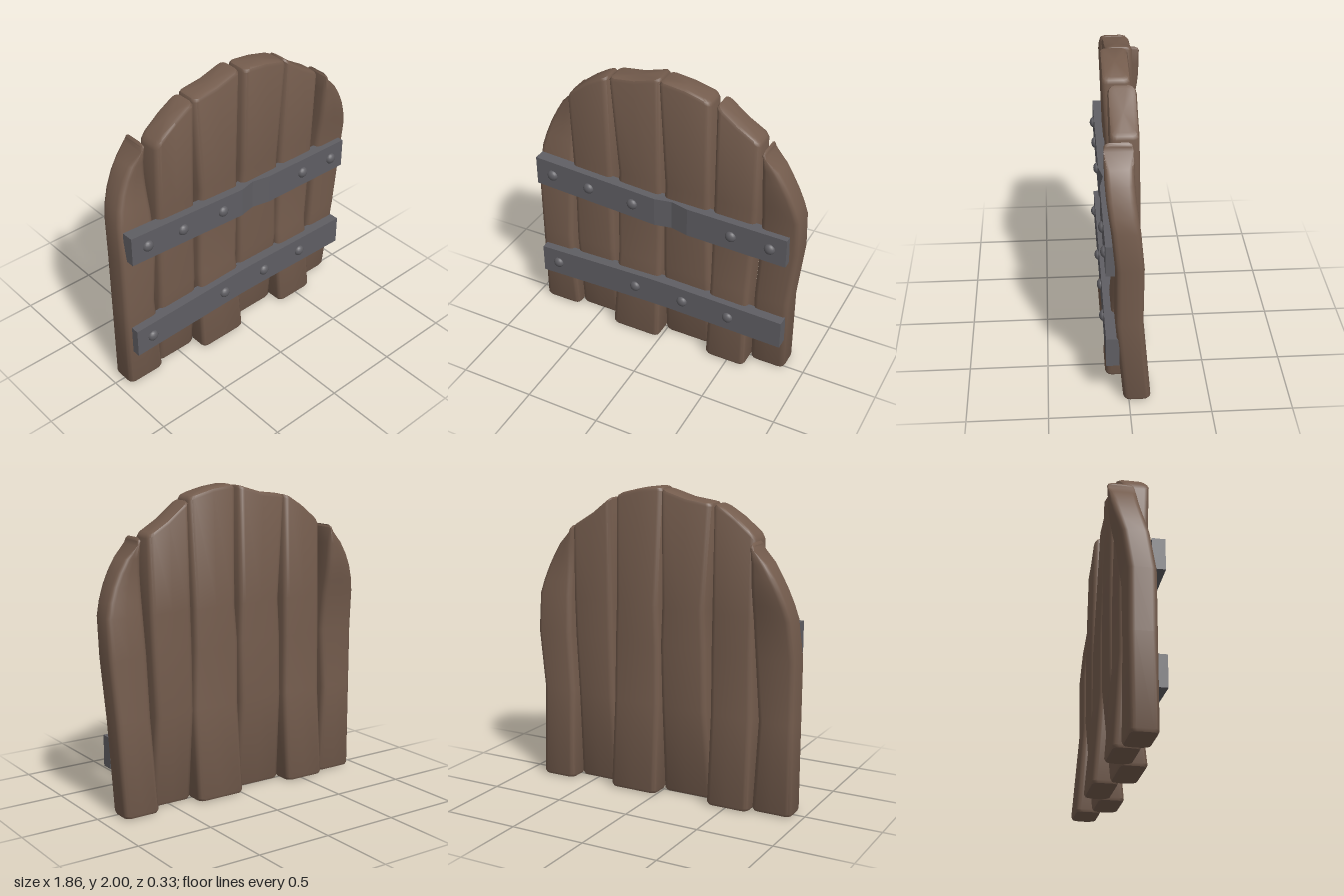
import * as THREE from 'three';
import { toCreasedNormals } from 'three/addons/utils/BufferGeometryUtils.js';

const THICK = 0.17;
const LEVELS = [0, 0.6, 1, 1.25]; // heights where plank edges are given
const wood = new THREE.MeshStandardMaterial({ color: 0x745c4d });
wood.name = 'brown wood';
const iron = new THREE.MeshStandardMaterial({ color: 0x5f5e63 });
iron.name = 'dark iron';

// Rounded-rectangle cross-section of a plank
function ringPoints(row, inset) {
  const { yl, xl, xr, z, yr = yl, bump = 0 } = row;
  const w = (xr - xl) / 2, cx = (xl + xr) / 2;
  const hw = w - Math.min(inset, w * 0.5), hz = THICK / 2 - inset;
  const r = Math.min(0.035, w * 0.6, hw * 0.9);
  const pts = [];
  const add = (x, dz) => {
    const u = x / w; // -1 .. 1 across the plank
    pts.push([cx + x, yl + (yr - yl) * (u + 1) / 2 + bump * (1 - u * u), z + dz]);
  };
  for (let q = 0; q < 4; q++) {
    const sx = q === 0 || q === 3 ? 1 : -1, sz = q < 2 ? 1 : -1;
    for (let k = 0; k <= 3; k++) {
      const a = (q + k / 3) * Math.PI / 2;
      add(sx * (hw - r) + Math.cos(a) * r, sz * (hz - r) + Math.sin(a) * r);
    }
    if (q % 2 === 0) add(0, sz * hz); // middle of the broad faces
  }
  return pts;
}

// Plank lofted through its rows, with rounded ends
function plankGeometry(rows) {
  const R = 0.025;
  const shift = (row, d) => ({ ...row, yl: row.yl + d, yr: (row.yr ?? row.yl) + d });
  const first = rows[0], last = rows[rows.length - 1];
  const rings = [
    ringPoints(first, R), ringPoints(shift(first, R * 0.3), R * 0.3), ringPoints(shift(first, R), 0),
    ...rows.slice(1, -1).map((row) => ringPoints(row, 0)),
    ringPoints(shift(last, -R), 0), ringPoints(shift(last, -R * 0.3), R * 0.3), ringPoints(last, R),
  ];
  const n = rings[0].length, pos = rings.flat(2), idx = [];
  for (let i = 0; i < rings.length - 1; i++) {
    for (let j = 0; j < n; j++) {
      const a = i * n + j, b = i * n + (j + 1) % n;
      idx.push(a, a + n, b + n, a, b + n, b);
    }
  }
  // end caps
  const cap = ({ yl, xl, xr, z, yr = yl, bump = 0 }, start, top) => {
    const c = pos.length / 3;
    pos.push((xl + xr) / 2, (yl + yr) / 2 + bump, z);
    for (let j = 0; j < n; j++) {
      const a = start + j, b = start + (j + 1) % n;
      idx.push(c, top ? b : a, top ? a : b);
    }
  };
  cap(first, 0, false);
  cap(last, (rings.length - 1) * n, true);
  const g = new THREE.BufferGeometry();
  g.setAttribute('position', new THREE.Float32BufferAttribute(pos, 3));
  g.setIndex(idx);
  return toCreasedNormals(g, 0.7);
}

// Middle planks: edges at each level, then at the sloped top; ends lean by zLow and zTop
function middleRows({ left, right, zLow, zTop, top: [yl, yr, bump] }) {
  const lean = [zLow, 0, 0, zTop * 0.25];
  const rows = LEVELS.map((y, i) => ({ yl: y, xl: left[i], xr: right[i], z: lean[i] }));
  return [...rows, { yl, yr, bump, xl: left[4], xr: right[4], z: zTop }];
}

// Side planks: the outer edge follows an elliptical arch above the third level
function sideRows({ side, inner, outer, reach, zLow, zTop }) {
  const row = (y, xIn, xOut, z, drop = 0) => (side > 0
    ? { yl: y, xl: xIn, xr: xOut, yr: y - drop, z }
    : { yl: y - drop, xl: -xOut, xr: -xIn, yr: y, z });
  const arch = (y) => reach * Math.sqrt(1 - ((y - 1.06) / 0.94) ** 2);
  const lean = (y) => zTop * THREE.MathUtils.smoothstep(y, 1, 1.55);
  return [
    ...outer.map((x, i) => row(LEVELS[i], inner[i], x, i === 0 ? zLow : 0)),
    ...[1.25, 1.34, 1.43, 1.51, 1.59].map((y) => row(y, inner[3], arch(y), lean(y))),
    row(1.72, inner[3], arch(1.69), zTop, 0.03),
  ];
}

const MIDDLE = [
  { left: [-0.663, -0.66, -0.655, -0.657, -0.66], right: [-0.37, -0.37, -0.37, -0.37, -0.37],
    zLow: -0.045, zTop: 0.022, top: [1.725, 1.925, 0.02] },
  { left: [-0.363, -0.34, -0.333, -0.32, -0.363], right: [-0.012, -0.02, -0.01, -0.018, -0.012],
    zLow: 0.055, zTop: 0.012, top: [1.925, 2, -0.02] },
  { left: [-0.005, 0, 0, 0.015, -0.005], right: [0.335, 0.335, 0.325, 0.322, 0.335],
    zLow: -0.05, zTop: 0.045, top: [2, 1.935, 0.015] },
  { left: [0.34, 0.34, 0.345, 0.35, 0.357], right: [0.627, 0.612, 0.632, 0.64, 0.645],
    zLow: 0.05, zTop: 0.015, top: [1.93, 1.73, -0.02] },
];

const SIDES = [
  { side: -1, inner: [0.668, 0.7, 0.67, 0.667], outer: [0.935, 0.935, 0.935], reach: 0.935, zLow: 0, zTop: -0.08 },
  { side: 1, inner: [0.63, 0.65, 0.67, 0.677], outer: [0.873, 0.888, 0.927], reach: 0.945, zLow: -0.05, zTop: 0.053 },
];

// Iron bar bent through stations [x, y, z of front face]
function strapGeometry(stations) {
  const n = stations.length - 1, depth = 0.08;
  const g = new THREE.BoxGeometry(n, 0.2, depth, n, 1, 1);
  const p = g.attributes.position;
  for (let i = 0; i < p.count; i++) {
    const [x, y, z] = stations[Math.round(p.getX(i) + n / 2)];
    p.setXYZ(i, x, y + p.getY(i), z - depth / 2 + p.getZ(i));
  }
  return toCreasedNormals(g, 0.1);
}

const STRAPS = [
  { name: 'upper', rivets: [-0.78, -0.51, -0.19, 0.5, 0.76],
    path: [[-0.9, 1.115, 0.14], [-0.03, 1.06, 0.14], [0.08, 1.057, 0.115], [0.2, 1.055, 0.14], [0.87, 1.04, 0.14]] },
  { name: 'lower', rivets: [-0.78, -0.18, 0.17, 0.5],
    path: [[-0.9, 0.382, 0.14], [-0.06, 0.402, 0.14], [0.06, 0.402, 0.14], [0.87, 0.382, 0.14]] },
];

export function createModel() {
  const door = new THREE.Group();
  door.name = 'plankDoor';
  const add = (geometry, material, name) => {
    const mesh = new THREE.Mesh(geometry, material);
    mesh.name = name;
    door.add(mesh);
    return mesh;
  };

  // planks
  MIDDLE.forEach((p, i) => add(plankGeometry(middleRows(p)), wood, `middlePlank${i + 1}`));
  SIDES.forEach((p) => add(plankGeometry(sideRows(p)), wood, p.side > 0 ? 'leftPlank' : 'rightPlank'));

  // straps with domed rivets sitting on their centre line
  const rivet = new THREE.SphereGeometry(0.037, 16, 10);
  for (const { name, rivets, path } of STRAPS) {
    add(strapGeometry(path), iron, `${name}Strap`);
    rivets.forEach((x, i) => {
      const k = path.findIndex((s) => s[0] > x);
      const [a, b] = [path[k - 1], path[k]];
      const y = THREE.MathUtils.mapLinear(x, a[0], b[0], a[1], b[1]);
      const head = add(rivet, iron, `${name}Rivet${i + 1}`);
      head.position.set(x, y, 0.138);
      head.scale.z = 0.75;
    });
  }
  return door;
}
